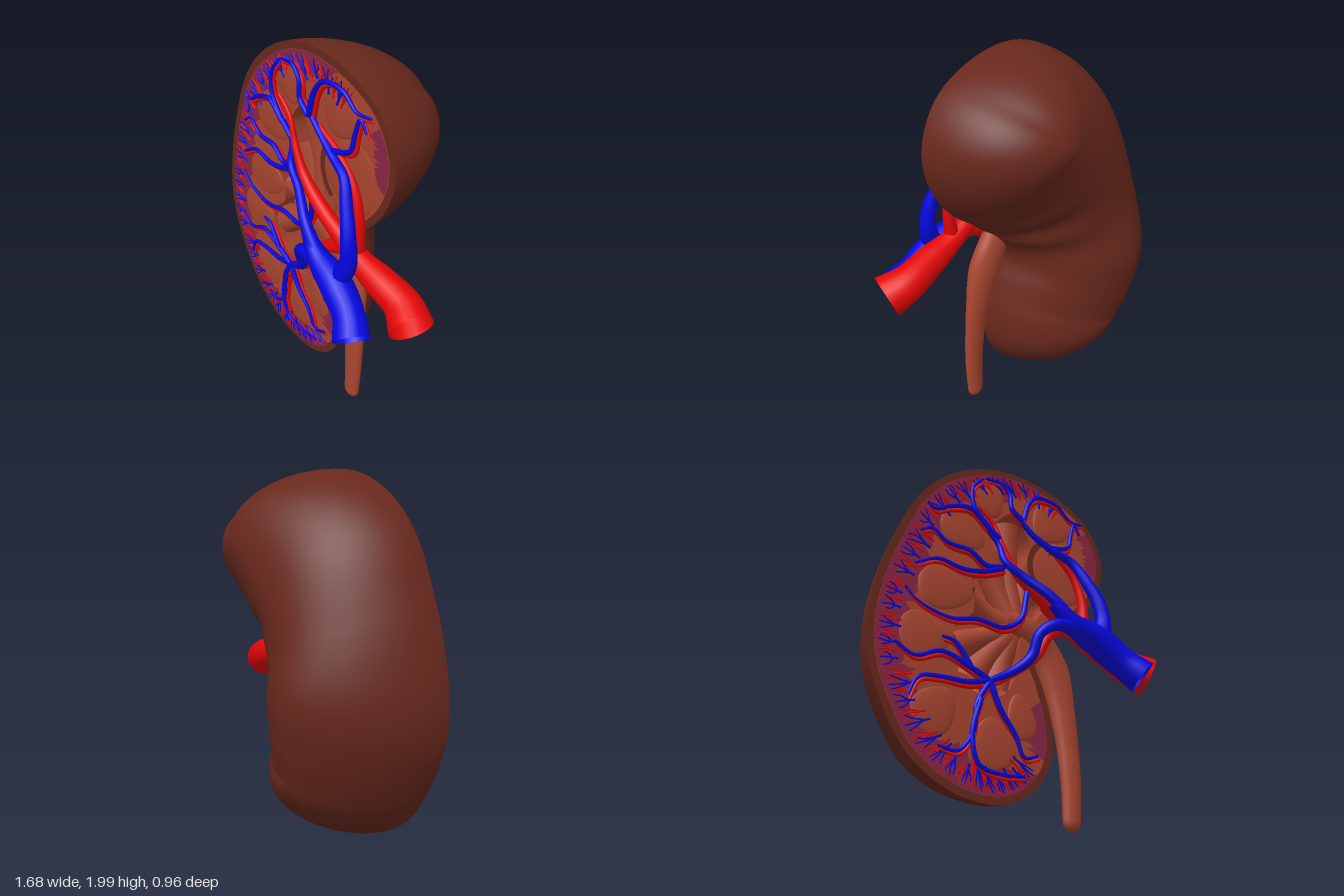
import * as THREE from 'three';
import { mergeGeometries } from 'three/addons/utils/BufferGeometryUtils.js';

const mat = (name, color) => new THREE.MeshStandardMaterial({ name, color, side: THREE.DoubleSide });
const V = (x, y, z = 0) => new THREE.Vector3(x, y, z);
const FRONT = 0.14; // plane of the cut
const RIM = 0.04; // thickness of the capsule at the cut

// Outline of the organ, clockwise from the top, and its inner spine
const outline = new THREE.CatmullRomCurve3([
  [0, 2], [0.27, 1.945], [0.46, 1.83], [0.555, 1.66], [0.56, 1.5], [0.49, 1.33], [0.38, 1.2],
  [0.25, 1.1], [0.15, 1], [0.08, 0.87], [0.13, 0.73], [0.18, 0.55], [0.18, 0.36], [0.09, 0.2],
  [-0.05, 0.11], [-0.2, 0.09], [-0.41, 0.14], [-0.6, 0.27], [-0.73, 0.47], [-0.82, 0.7],
  [-0.835, 0.89], [-0.8, 1.13], [-0.72, 1.39], [-0.6, 1.66], [-0.44, 1.84], [-0.23, 1.96],
].map(p => V(...p)), true);
const COUNT = 26;
const spine = new THREE.QuadraticBezierCurve3(V(0.13, 1.62), V(-0.55, 1.15), V(-0.27, 0.47)).getPoints(200);

// Outline point k (0..26) and the spine point nearest to it
const edge = k => outline.getPoint((((k % COUNT) + COUNT) % COUNT) / COUNT);
const core = p => spine.reduce((a, b) => (b.distanceToSquared(p) < a.distanceToSquared(p) ? b : a));
// Point moved inward from the outline by distance d
const inset = (k, d, z = FRONT) => {
  const p = edge(k), dir = core(p).clone().sub(p).normalize();
  return p.addScaledVector(dir, d).setZ(z);
};

// Grid surface from a rule fn(u, v)
function grid(nu, nv, fn, { closed = false, flip = false } = {}) {
  const pos = [], idx = [], cols = closed ? nu : nu + 1;
  for (let j = 0; j <= nv; j++)
    for (let i = 0; i < cols; i++) pos.push(...fn(i / nu, j / nv).toArray());
  for (let j = 0; j < nv; j++)
    for (let i = 0; i < nu; i++) {
      const a = j * cols + i, b = j * cols + ((i + 1) % cols), c = a + cols, d = b + cols;
      if (flip) idx.push(a, c, b, b, c, d);
      else idx.push(a, b, c, b, d, c);
    }
  const g = new THREE.BufferGeometry();
  g.setAttribute('position', new THREE.Float32BufferAttribute(pos, 3));
  g.setIndex(idx);
  g.computeVertexNormals();
  return g;
}

// Tube whose radius follows a list of values along its length
function vessel(points, radii, sides = 8, steps = points.length * 5) {
  const path = new THREE.CatmullRomCurve3(points.map(p => (p.isVector3 ? p : V(...p))));
  const g = new THREE.TubeGeometry(path, steps, 1, sides);
  const pos = g.attributes.position, v = V(0, 0);
  for (let i = 0; i <= steps; i++) {
    const c = path.getPointAt(i / steps), f = (i / steps) * (radii.length - 1);
    const k = Math.min(Math.floor(f), radii.length - 2);
    const r = THREE.MathUtils.lerp(radii[k], radii[k + 1], f - k);
    for (let j = 0; j <= sides; j++) {
      const n = i * (sides + 1) + j;
      v.fromBufferAttribute(pos, n).sub(c).multiplyScalar(r).add(c);
      pos.setXYZ(n, v.x, v.y, v.z);
    }
  }
  return g;
}

export function createModel() {
  const group = new THREE.Group();
  const brown = mat('capsule brown', 0x68281c), brick = mat('tissue brick', 0xa8452f);
  const purple = mat('cortex purple', 0x8a2646), red = mat('artery red', 0xe40606), blue = mat('vein blue', 0x0606e0);
  const add = (name, geometry, material) => {
    const m = new THREE.Mesh(geometry, material);
    m.name = name;
    group.add(m);
  };
  let seed = 7;
  const rand = () => (seed = (seed * 16807) % 2147483647) / 2147483647;

  // Rounded back shell: the outline closes over the spine, fuller on the top and inner side
  const rim = Array.from({ length: 156 }, (_, i) => {
    const p = edge(i / 6), c = core(p), dir = p.clone().sub(c).normalize();
    const full = Math.max(0, dir.x, dir.y);
    const depth = FRONT + 0.42 + 0.06 * Math.exp(-(((c.y - 0.88) / 0.24) ** 2)) - 0.2 * Math.max(0, 0.6 - c.y);
    // soft puckers where the vessels enter
    const pucker = 0.035 * Math.sin(i * 0.95) * Math.exp(-(((i / 6 - 7.8) / 1.1) ** 2));
    return { p, c, depth, pucker, power: 2 / (1.6 + 0.42 * full * full) };
  });
  add('capsule', grid(156, 28, (u, v) => {
    const { p, c, depth, pucker, power } = rim[Math.round(u * 156)], a = v * Math.PI / 2;
    const spread = Math.max(0, Math.cos(a)) ** power * 1.01 - 0.01 + pucker * Math.sin(2 * a) ** 2;
    return c.clone().lerp(p, spread).setZ(FRONT - depth * Math.sin(a) ** power);
  }, { closed: true }), brown);
  add('capsuleRim', grid(156, 1, (u, v) => inset(u * COUNT, v * RIM), { closed: true, flip: true }), brown);

  // Cut face with a hollow sinus
  const sinus = [[-0.05, 1.72], [0.07, 1.56], [0.03, 1.36], [0.17, 1.24], [0.1, 1.1], [0, 0.97], [-0.01, 0.82],
    [-0.1, 0.64], [-0.25, 0.62], [-0.36, 0.72], [-0.38, 0.95], [-0.28, 1.05], [-0.29, 1.25], [-0.19, 1.35],
    [-0.2, 1.55], [-0.13, 1.66]].map(p => V(...p));
  const hollow = new THREE.CatmullRomCurve3(sinus, true);
  const face = new THREE.Shape(rim.map((_, i) => inset(i / 6, RIM - 0.001)));
  face.holes.push(new THREE.Path(hollow.getPoints(64)));
  add('cutFace', new THREE.ShapeGeometry(face).translate(0, 0, FRONT), brick);
  add('sinusWall', grid(64, 1, (u, v) => hollow.getPoint(u).setZ(FRONT - v * 0.13), { closed: true, flip: true }), brick);
  add('sinusFloor', new THREE.ShapeGeometry(new THREE.Shape(hollow.getPoints(64))).translate(0, 0, 0.01), brick);

  // Ragged purple cortex patches
  for (const [k0, k1, width] of [[12.7, 26.7, 0.16], [2.3, 4.4, 0.085], [10.4, 12.2, 0.1]]) {
    const n = Math.round((k1 - k0) * 8);
    const widths = Array.from({ length: n + 1 }, (_, i) =>
      RIM + width * Math.min(1, 5 * Math.sin(Math.PI * i / n)) * (0.7 + 0.5 * rand()));
    add('cortex', grid(n, 1, (u, v) =>
      inset(k0 + u * (k1 - k0), v ? widths[Math.round(u * n)] : RIM, FRONT + 0.003), { flip: true }), purple);
  }

  // Pyramids: low domes narrowing toward the sinus [x, y, length, width, tip angle]
  const pyramids = [[-0.2, 1.77, 0.12, 0.1, -1.2], [0.2, 1.73, 0.13, 0.12, -2.2], [-0.35, 1.52, 0.14, 0.12, -0.5],
    [-0.44, 1.14, 0.15, 0.12, 0], [-0.54, 0.86, 0.14, 0.12, 0.1], [-0.47, 0.5, 0.13, 0.11, 0.9],
    [-0.16, 0.38, 0.13, 0.12, 1.7], [0.27, 1.43, 0.19, 0.185, -1.1], [0, 0.54, 0.12, 0.08, 1.8]];
  for (const [x, y, len, wid, angle] of pyramids) {
    const g = new THREE.SphereGeometry(1, 28, 8, 0, Math.PI * 2, 0, Math.PI / 2).rotateX(Math.PI / 2);
    const p = g.attributes.position;
    for (let i = 0; i < p.count; i++) p.setY(i, p.getY(i) * (1 - 0.3 * p.getX(i)));
    g.scale(len, wid, 0.014).rotateZ(angle).translate(x, y, FRONT);
    g.computeVertexNormals();
    add('pyramid', g, brick);
  }
  add('lobeShadowBand', new THREE.RingGeometry(0.185, 0.22, 24, 1, 2.3, 1.7).translate(0.265, 1.43, FRONT + 0.006), brown);

  // Calyces gather into the pelvis
  const calyces = [[-0.06, 1.66], [-0.17, 1.45], [-0.29, 1.15], [-0.36, 0.86], [-0.28, 0.68], [-0.12, 0.66], [0.08, 1.35]]
    .map(([x, y]) => vessel([[x, y, 0.06], [x * 0.6, 1.04 + (y - 1.04) * 0.55, 0.05], [0, 1.04, 0.07]], [0.085, 0.06, 0.07], 14));
  add('calyces', mergeGeometries(calyces), brick);

  // Pelvis and ureter, flattened front to back
  const ureter = new THREE.Group();
  ureter.name = 'ureter';
  ureter.position.z = 0.115;
  ureter.scale.z = 0.65;
  ureter.add(
    new THREE.Mesh(vessel([[-0.08, 1.06, 0], [0.07, 1.03, 0], [0.18, 0.93, -0.03], [0.25, 0.75, -0.02],
      [0.285, 0.5, 0.005], [0.295, 0.25, 0.025], [0.29, 0.06, 0.03]], [0.06, 0.09, 0.105, 0.077, 0.064, 0.057, 0.05], 20, 50), brick),
    new THREE.Mesh(new THREE.SphereGeometry(0.05, 20, 12).translate(0.29, 0.06, 0.03), brick));
  group.add(ureter);

  // Main vessels
  const veins = [
    vessel([[0.1, 1.13, 0.29], [0.23, 1.03, 0.31], [0.36, 0.97, 0.32], [0.5, 0.87, 0.345], [0.585, 0.79, 0.395]],
      [0.025, 0.05, 0.075, 0.085, 0.08, 0.092], 20, 40),
    vessel([[0.38, 0.98, 0.31], [0.43, 1.1, 0.29], [0.42, 1.22, 0.28], [0.37, 1.35, 0.25], [0.3, 1.48, 0.21],
      [0.2, 1.53, 0.19], [0.08, 1.6, 0.17], [0, 1.67, 0.165]], [0.055, 0.042, 0.034, 0.025, 0.019, 0.014], 12),
    vessel([[0.23, 1.03, 0.31], [0.1, 1.17, 0.29], [-0.03, 1.28, 0.23], [-0.13, 1.36, 0.2], [-0.15, 1.47, 0.17],
      [-0.22, 1.56, 0.165]], [0.045, 0.03, 0.025, 0.022, 0.016, 0.012], 12),
    vessel([[0.28, 1, 0.31], [0.12, 1.01, 0.31], [0.03, 0.95, 0.28], [0, 0.83, 0.24], [-0.08, 0.75, 0.2],
      [-0.2, 0.68, 0.18]], [0.05, 0.034, 0.028, 0.028, 0.022, 0.016], 12),
  ];
  const arteries = [
    vessel([[0.12, 1.18, 0.18], [0.27, 1.1, 0.18], [0.4, 1.04, 0.18], [0.53, 1, 0.175], [0.69, 0.945, 0.17], [0.79, 0.9, 0.21]],
      [0.03, 0.05, 0.06, 0.08, 0.09, 0.11], 20, 40),
    vessel([[0.32, 1.08, 0.18], [0.12, 1.2, 0.19], [-0.05, 1.33, 0.18], [-0.13, 1.47, 0.17], [-0.18, 1.6, 0.16],
      [-0.27, 1.68, 0.155]], [0.05, 0.042, 0.035, 0.022, 0.014, 0.009], 12),
    vessel([[0.37, 1.07, 0.18], [0.38, 1.25, 0.18], [0.33, 1.42, 0.17], [0.2, 1.55, 0.16], [0.05, 1.63, 0.155]],
      [0.04, 0.028, 0.02, 0.014, 0.012], 10),
    vessel([[0.3, 1.08, 0.19], [0.14, 1, 0.2], [0.06, 0.86, 0.19], [-0.1, 0.72, 0.17], [-0.21, 0.65, 0.155]],
      [0.045, 0.03, 0.025, 0.018, 0.013], 10),
  ];

  // Branches curving around the pyramids, a vein and an artery side by side
  const branches = [
    [[0, 1.67], [-0.07, 1.73], [-0.08, 1.82], [-0.13, 1.88], [-0.23, 1.88]],
    [[0, 1.67], [0.04, 1.8], [0.1, 1.87], [0.24, 1.87], [0.33, 1.8], [0.42, 1.8]],
    [[0.16, 1.55], [0.3, 1.6], [0.33, 1.7], [0.36, 1.78], [0.4, 1.72]],
    [[-0.15, 1.5], [-0.25, 1.59], [-0.31, 1.68], [-0.31, 1.79], [-0.25, 1.87]],
    [[-0.22, 1.56], [-0.33, 1.64], [-0.45, 1.61], [-0.53, 1.57], [-0.57, 1.6]],
    [[-0.12, 1.34], [-0.23, 1.32], [-0.32, 1.38], [-0.45, 1.39], [-0.54, 1.45], [-0.6, 1.42]],
    [[-0.13, 1.33], [-0.24, 1.28], [-0.36, 1.26], [-0.5, 1.28], [-0.62, 1.22]],
    [[0.02, 1.23], [-0.02, 1.06], [-0.12, 0.99], [-0.27, 1], [-0.42, 0.97], [-0.6, 1.02], [-0.66, 1.08]],
    [[-0.2, 0.68], [-0.31, 0.73], [-0.46, 0.78], [-0.6, 0.73], [-0.7, 0.78]],
    [[-0.31, 0.73], [-0.36, 0.81], [-0.4, 0.85], [-0.46, 0.86]],
    [[-0.2, 0.68], [-0.33, 0.65], [-0.45, 0.65], [-0.57, 0.63], [-0.62, 0.53]],
    [[-0.2, 0.68], [-0.27, 0.55], [-0.28, 0.42], [-0.36, 0.31], [-0.46, 0.32]],
    [[-0.2, 0.68], [-0.14, 0.55], [-0.05, 0.43], [0, 0.33], [0.08, 0.35]],
    [[-0.25, 0.58], [-0.29, 0.4], [-0.25, 0.26], [-0.12, 0.23], [0, 0.24]],
  ];
  for (const b of branches) {
    veins.push(vessel(b.map(([x, y], i) => [x, y, 0.178 - 0.004 * i]), [0.016, 0.013, 0.011, 0.007]));
    arteries.push(vessel(b.map(([x, y]) => [x + 0.012, y - 0.016, 0.156]), [0.014, 0.012, 0.01, 0.006]));
  }

  // Fine forked twigs spreading through the cortex
  for (let i = 0; i < 31; i++) {
    const k = 12.7 + i * 0.47 + rand() * 0.15, start = 0.14 + 0.06 * rand();
    for (const [list, shift, z] of [[veins, 0, 0.155], [arteries, 0.2, 0.152]]) {
      const at = (dk, d) => inset(k + shift + dk, d, z);
      list.push(vessel([at(0, start), at(0.06 * (rand() - 0.5), 0.1), at(0.12 * (rand() - 0.5), 0.055)], [0.006, 0.003], 5, 5));
      for (const s of [-1, 1])
        list.push(vessel([at(0, start - 0.03), at(s * 0.1, 0.1), at(s * (0.1 + 0.08 * rand()), 0.06 + 0.02 * rand())], [0.005, 0.003], 5, 5));
    }
  }
  add('veins', mergeGeometries(veins), blue);
  add('arteries', mergeGeometries(arteries), red);
  return group;
}
